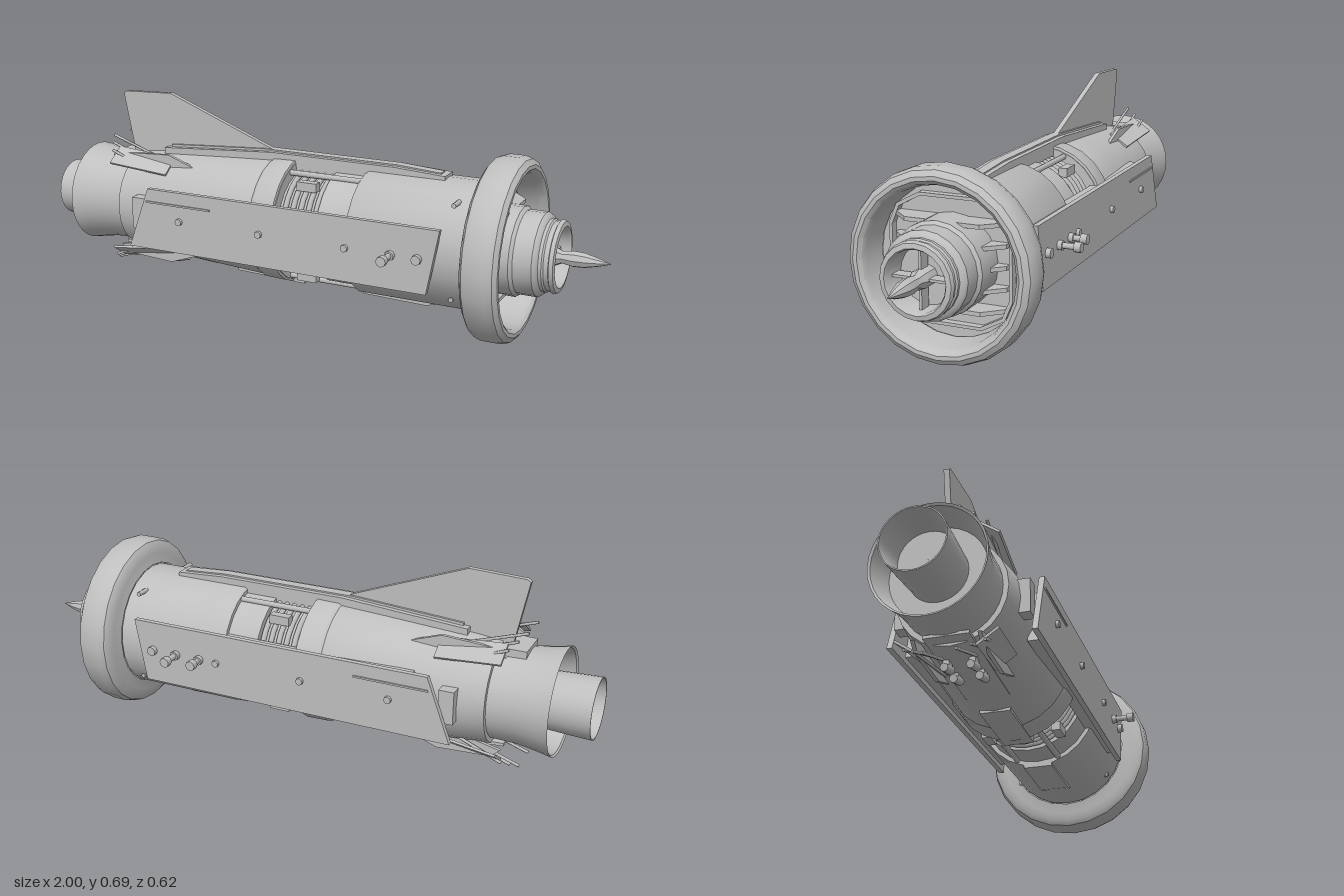
import * as THREE from 'three';
import { toCreasedNormals } from 'three/addons/utils/BufferGeometryUtils.js';

const metal = new THREE.MeshStandardMaterial({ color: 0xbfbfbf, side: THREE.DoubleSide });
metal.name = 'light grey metal';
const CY = 0.3; // height of the engine axis

export function createModel() {
  const model = new THREE.Group();
  model.name = 'jetEngine';

  const add = (name, geometry, x = 0, y = 0, z = 0) => {
    const mesh = new THREE.Mesh(geometry, metal);
    mesh.name = name;
    mesh.position.set(x, y, z);
    model.add(mesh);
    return mesh;
  };
  // Solid of revolution about the x axis, profile given as [x, radius]
  const turned = (name, profile, sides = 24) => {
    const g = new THREE.LatheGeometry(profile.map(([x, r]) => new THREE.Vector2(r, x)), sides);
    g.rotateZ(-Math.PI / 2);
    return add(name, toCreasedNormals(g, 0.6), 0, CY, 0);
  };
  const box = (name, sx, sy, sz, x, y, z) => add(name, new THREE.BoxGeometry(sx, sy, sz), x, y, z);
  // Side outline in x/y, extruded along z and centred on z
  const plate = (name, outline, thickness, z = 0) => {
    const shape = new THREE.Shape(outline.map(([x, y]) => new THREE.Vector2(x, y)));
    const g = new THREE.ExtrudeGeometry(shape, { depth: thickness, bevelEnabled: false });
    return add(name, g, 0, 0, z - thickness / 2);
  };
  // Round bar between two points
  const rod = (name, a, b, r, sides = 8) => {
    const p = new THREE.Vector3(...a), q = new THREE.Vector3(...b);
    const mesh = add(name, new THREE.CylinderGeometry(r, r, p.distanceTo(q), sides));
    mesh.position.copy(p).lerp(q, 0.5);
    mesh.quaternion.setFromUnitVectors(new THREE.Vector3(0, 1, 0), q.sub(p).normalize());
    return mesh;
  };

  // Intake ring with rounded lip
  turned('intakeRing', [
    [0.6, 0.215], [0.608, 0.25], [0.61, 0.275], [0.622, 0.292], [0.645, 0.3], [0.695, 0.3], [0.718, 0.292],
    [0.73, 0.275], [0.73, 0.262], [0.72, 0.25], [0.7, 0.244], [0.62, 0.238],
  ]);
  turned('intakeBackWall', [[0.615, 0.24], [0.615, 0.001]]);

  // Rounded frame at the back of the intake
  const roundedOutline = (path, w, h, c) => {
    [[w, h - c], [w - c * 0.25, h - c * 0.4], [w - c, h], [-w + c, h], [-w + c * 0.25, h - c * 0.4], [-w, h - c],
      [-w, c - h], [-w + c * 0.25, c * 0.4 - h], [c - w, -h], [w - c, -h], [w - c * 0.25, c * 0.4 - h], [w, c - h],
    ].forEach(([x, y], i) => (i ? path.lineTo(x, y) : path.moveTo(x, y)));
    path.closePath();
    return path;
  };
  const frame = roundedOutline(new THREE.Shape(), 0.2, 0.2, 0.1);
  frame.holes.push(roundedOutline(new THREE.Path(), 0.19, 0.19, 0.095));
  const frameGeo = new THREE.ExtrudeGeometry(frame, { depth: 0.03, bevelEnabled: false });
  add('intakeFrame', frameGeo.rotateY(Math.PI / 2), 0.61, CY, 0);

  // Horizontal intake louvres
  for (const y of [-0.13, -0.065, 0, 0.065, 0.13]) {
    for (const s of [-1, 1]) {
      const louvre = new THREE.Shape([[0.05, 0.61], [0.18, 0.61], [0.18, 0.635], [0.12, 0.69], [0.05, 0.69]]
        .map(([z, x]) => new THREE.Vector2(x, s * z)));
      const g = new THREE.ExtrudeGeometry(louvre, { depth: 0.013, bevelEnabled: false });
      add('louvre', g.rotateX(Math.PI / 2), 0, CY + y + 0.0065, 0);
    }
  }

  // Stepped hollow hub with cross struts and spike
  turned('intakeHub', [
    [0.61, 0.145], [0.72, 0.145], [0.73, 0.135], [0.79, 0.135], [0.8, 0.128], [0.805, 0.117], [0.815, 0.117],
    [0.82, 0.112], [0.835, 0.112], [0.838, 0.118], [0.85, 0.113], [0.853, 0.098], [0.845, 0.093], [0.77, 0.09], [0.77, 0.001],
  ], 20);
  box('hubStrut', 0.04, 0.008, 0.18, 0.8, CY, 0);
  box('hubStrut', 0.04, 0.18, 0.008, 0.8, CY, 0);
  turned('spike', [[0.76, 0.03], [0.83, 0.03], [0.85, 0.02], [0.885, 0.026], [0.92, 0.024], [0.96, 0.014], [1, 0.001]], 8);

  // Main casings and the recessed middle
  turned('frontCasing', [[0.2, 0.16], [0.2, 0.207], [0.21, 0.212], [0.6, 0.212], [0.61, 0.2]]);
  turned('middleCore', [[-0.08, 0.17], [0.09, 0.17], [0.09, 0.193], [0.2, 0.193]]);
  turned('rearCasing', [[-0.69, 0.1], [-0.69, 0.172], [-0.6, 0.182], [-0.3, 0.2], [-0.07, 0.212], [-0.058, 0.207], [-0.058, 0.16]]);
  turned('rearCasingBand', [[-0.15, 0.207], [-0.14, 0.214], [-0.062, 0.216], [-0.058, 0.2]]);
  for (let i = 0; i < 5; i++) {
    const pipe = add('coolingPipe', new THREE.TorusGeometry(0.178, 0.009, 6, 28), -0.035 + i * 0.028, CY, 0);
    pipe.rotation.y = Math.PI / 2;
  }
  for (const s of [-1, 1]) {
    for (const z of [-0.12, 0.12]) {
      box('recessBlock', 0.07, 0.03, 0.03, 0.03, CY + s * 0.155, z);
      rod('recessPipe', [-0.06, CY + s * 0.18, z * 0.6], [0.2, CY + s * 0.18, z * 0.6], 0.01);
    }
  }

  // Exhaust nozzles
  turned('outerNozzle', [[-0.8, 0.001], [-0.8, 0.148], [-0.885, 0.17], [-0.89, 0.177], [-0.84, 0.167], [-0.78, 0.158], [-0.68, 0.155]], 32);
  turned('innerNozzle', [[-0.88, 0.001], [-0.88, 0.09], [-1, 0.096], [-1, 0.1], [-0.9, 0.096], [-0.79, 0.09]], 32);

  // Tail fin and the spine under it
  plate('tailFin', [[-0.72, 0.46], [-0.762, 0.675], [-0.75, 0.683], [-0.565, 0.69], [-0.15, 0.53], [-0.15, 0.47]], 0.018);
  plate('spine', [[-0.58, 0.46], [-0.58, 0.5], [-0.15, 0.53], [0.3, 0.53], [0.47, 0.52], [0.47, 0.48]], 0.07);
  plate('spineCap', [[-0.56, 0.48], [-0.56, 0.51], [-0.18, 0.535], [0.3, 0.535], [0.45, 0.525], [0.45, 0.48]], 0.035);
  box('finFoot', 0.08, 0.03, 0.12, -0.74, 0.455, 0);

  // Belly strips
  plate('bellyStrip', [[-0.28, 0.12], [-0.28, 0.095], [-0.02, 0.087], [-0.02, 0.12]], 0.1);
  plate('bellyStrip', [[0.2, 0.12], [0.2, 0.088], [0.42, 0.083], [0.45, 0.09], [0.45, 0.12]], 0.1);

  for (const s of [-1, 1]) {
    // Long side panels with backing rail, ridge and hatch
    plate('sidePanel', [[-0.605, 0.192], [0.49, 0.192], [0.53, 0.405], [-0.525, 0.405]], 0.018, s * 0.223);
    plate('panelBacking', [[-0.5, 0.21], [0.45, 0.21], [0.48, 0.39], [-0.46, 0.39]], 0.05, s * 0.195);
    box('panelRidge', 0.25, 0.006, 0.006, -0.405, 0.36, s * 0.234);
    box('sideHatch', 0.05, 0.11, 0.04, -0.58, 0.305, s * 0.19);

    // Panel bolts and long pegs
    for (const x of [-0.4, -0.095, 0.215]) rod('panelBolt', [x, 0.305, s * 0.22], [x, 0.305, s * 0.243], 0.012);
    for (const x of s > 0 ? [0.37] : [0.28, 0.37]) {
      const end = x === 0.37 ? 0.3 : 0.285;
      rod('peg', [x, 0.305, s * 0.22], [x, 0.305, s * end], 0.01);
      rod('pegCollar', [x, 0.305, s * 0.23], [x, 0.305, s * 0.247], 0.016);
      rod('pegHead', [x, 0.305, s * (end - 0.014)], [x, 0.305, s * (end + 0.008)], 0.017);
    }
    rod('panelKnob', [0.46, 0.305, s * 0.22], [0.46, 0.305, s * 0.248], 0.016);

    // Small casing bolts near the ring
    for (const y of [0.165, 0.47]) rod('casingBolt', [0.55, y, s * 0.12], [0.55, y, s * 0.17], 0.008);

    // Tail blades and thin vanes, above and below
    for (const v of [-1, 1]) {
      const Y = (d) => CY + v * d;
      plate('tailBlade', [[-0.73, Y(0.158)], [-0.7, Y(0.185)], [-0.52, Y(0.195)], [-0.42, Y(0.16)], [-0.6, Y(0.13)]], 0.012, s * 0.1);
      const flap = box('tailFlap', 0.22, 0.008, 0.08, -0.62, Y(0.165), s * 0.115);
      flap.rotation.set(s * v * 0.6, 0, -v * 0.12);
      for (let i = 0; i < 3; i++) {
        const z = s * (0.05 + i * 0.035), d = 0.228 - i * 0.018;
        rod('tailVane', [-0.78 + i * 0.02, Y(d), z], [-0.57, Y(d - 0.07), z], 0.005, 6);
      }
    }

    // Belly nozzles
    for (const x of [-0.6, -0.52]) {
      rod('bellyNozzle', [x - 0.03, 0.095, s * 0.04], [x + 0.03, 0.11, s * 0.04], 0.013);
      box('bellyNozzleMount', 0.03, 0.05, 0.02, x, 0.125, s * 0.04);
    }
  }
  // Wide plate under the tail
  plate('tailPlate', [[-0.73, 0.14], [-0.73, 0.15], [-0.35, 0.13], [-0.35, 0.115]], 0.14);

  return model;
}
